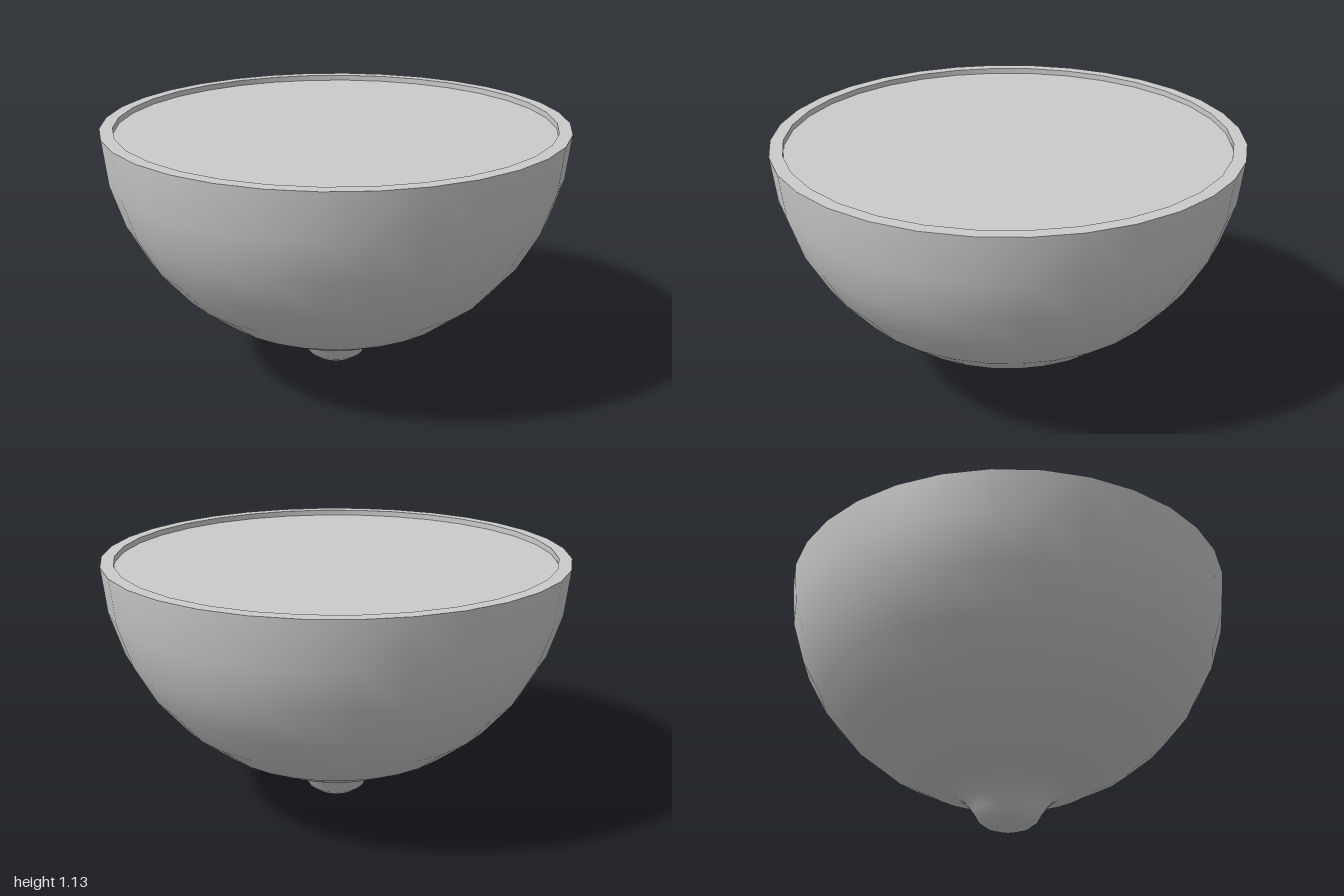
import * as THREE from 'three';

const SIDES = 32;
const TOP = 1.13;      // height of the cut
const INNER = 0.945;   // radius inside the rind
const FLESH = TOP - 0.025;

export function createModel() {
  const group = new THREE.Group();
  group.name = 'halfFruit';
  const material = new THREE.MeshStandardMaterial({ color: 0xcccccc });

  // Each lathe is its own mesh, so edges between them stay sharp
  const turn = (name, profile) => {
    const points = profile.map(([r, y]) => new THREE.Vector2(r, y));
    const mesh = new THREE.Mesh(new THREE.LatheGeometry(points, SIDES), material);
    mesh.name = name;
    group.add(mesh);
  };

  // Rind: rounded tip flaring into a half sphere
  const rind = [
    [0, 0], [0.06, 0.008], [0.1, 0.022], [0.13, 0.045], [0.15, 0.08],
    [0.175, 0.115], [0.205, 0.148], [0.25, 0.176], [0.3, 0.193],
  ];
  for (let i = 2; i <= 8; i++) {
    const a = (i / 8) * Math.PI / 2;
    rind.push([Math.sin(a), TOP - 0.99 * Math.cos(a)]);
  }
  turn('rind', rind);

  // Flat cut edge, the small step inside it, and the sunken flesh
  turn('rindRim', [[1, TOP], [INNER, TOP]]);
  turn('rindInnerWall', [[INNER, TOP], [INNER, FLESH]]);
  turn('cutFlesh', [[INNER, FLESH], [0, FLESH]]);

  return group;
}
